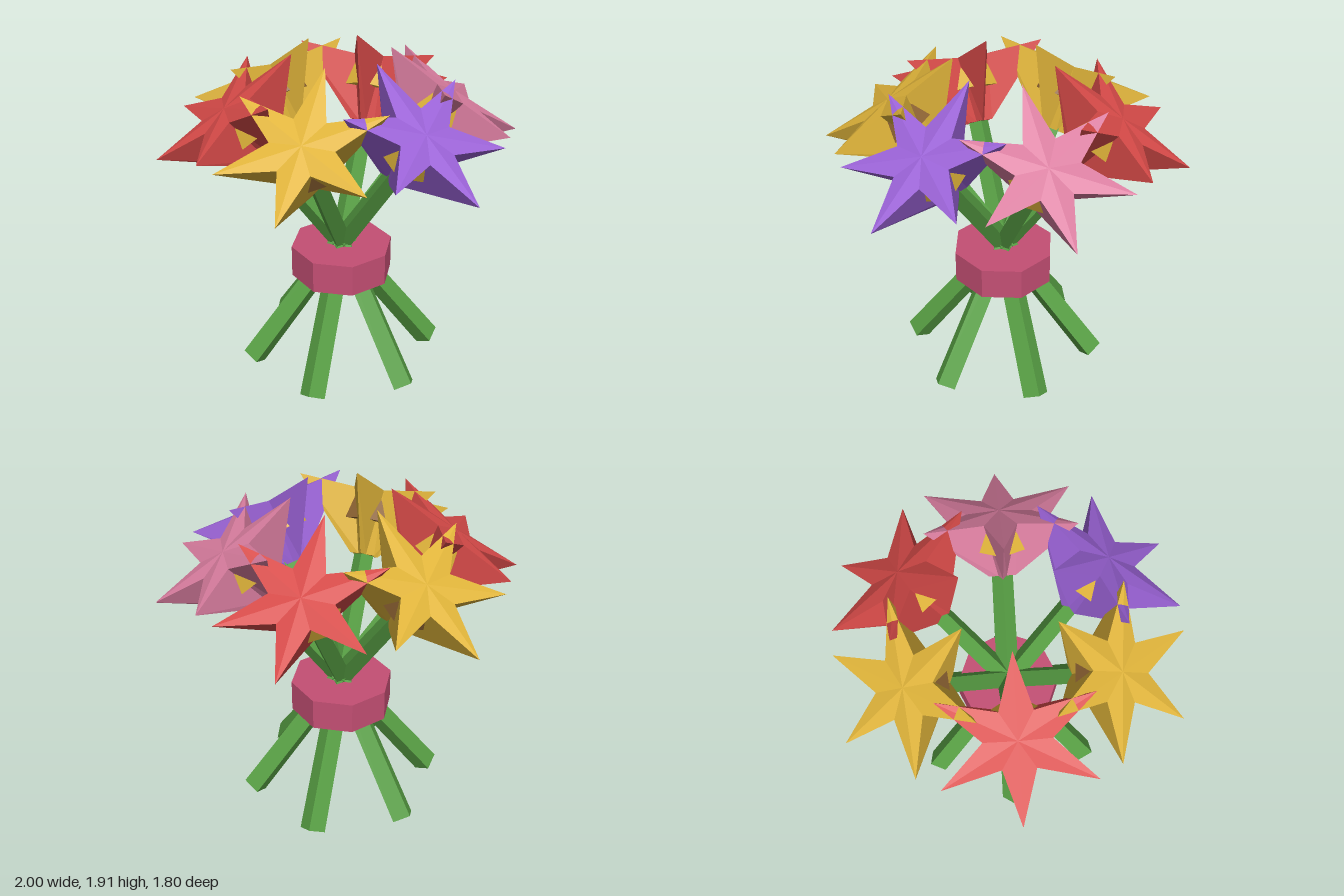
import * as THREE from 'three';

const mat = (name, color) => {
  const m = new THREE.MeshStandardMaterial({ color, flatShading: true });
  m.name = name;
  return m;
};

const TILT = Math.PI / 5;   // lean of every stem away from vertical
const CROSS_Y = 0.775;      // height where the stems cross
const HEAD = 1.075;         // crossing point to flower rim, along the stem
const FOOT = 0.9;           // crossing point to cut end, along the stem

// Six-pointed star funnel: rim at y = 0, narrow foot below
function starGeometry() {
  const depth = 0.375, n = 12, pos = [];
  const ring = (tip, valley, y, dip) => Array.from({ length: n }, (_, i) => {
    const a = i * Math.PI / 6, r = i % 2 ? valley : tip;
    return [r * Math.cos(a), i % 2 ? y - dip : y, r * Math.sin(a)];
  });
  const rim = ring(0.453, 0.172, 0, 0.018);
  const foot = ring(0.082, 0.045, -depth, 0);
  const tri = (...p) => p.forEach(v => pos.push(...v));
  for (let i = 0; i < n; i++) {
    const j = (i + 1) % n;
    tri([0, -0.006, 0], rim[j], rim[i]);
    tri(rim[i], rim[j], foot[i]);
    tri(rim[j], foot[j], foot[i]);
    tri([0, -depth, 0], foot[i], foot[j]);
  }
  const g = new THREE.BufferGeometry();
  g.setAttribute('position', new THREE.Float32BufferAttribute(pos, 3));
  g.computeVertexNormals();
  return g;
}

export function createModel() {
  const green = mat('stem green', 0x58a044);
  const wrap = mat('ribbon rose', 0xc44f74);
  const pink = mat('petal pink', 0xd97d9f);
  const purple = mat('petal purple', 0x9a62d6);
  const gold = mat('petal gold', 0xe0b43a);
  const red = mat('petal red', 0xd64a48);
  const brown = mat('centre brown', 0x8f6433);

  const model = new THREE.Group();
  model.name = 'bouquet';
  const add = (parent, name, geo, material, y = 0) => {
    const m = new THREE.Mesh(geo, material);
    m.name = name;
    m.position.y = y;
    parent.add(m);
    return m;
  };

  // Octagonal band around the stems
  add(model, 'ribbonBand', new THREE.CylinderGeometry(0.29, 0.29, 0.185, 8), wrap, 0.672);

  // Shared parts
  const stemTop = HEAD - 0.3;
  const stem = new THREE.CylinderGeometry(0.056, 0.073, stemTop + FOOT, 4);
  const star = starGeometry();
  const centre = new THREE.CylinderGeometry(0.178, 0.178, 0.145, 6).rotateY(Math.PI / 6);

  // Six flowers, leaning outward all round
  const petals = [pink, purple, gold, red, gold, red];
  petals.forEach((petal, i) => {
    const turn = new THREE.Group();
    turn.name = 'flower' + (i + 1);
    turn.position.y = CROSS_Y;
    turn.rotation.y = -i * Math.PI / 3;
    const lean = new THREE.Group();
    lean.name = 'leaningStem';
    lean.rotation.z = -TILT;
    turn.add(lean);
    add(lean, 'stem', stem, green, (stemTop - FOOT) / 2);
    add(lean, 'petals', star, petal, HEAD);
    // Hexagonal centre showing between the petals
    add(lean, 'flowerCentre', centre, petal === gold ? brown : gold, HEAD - 0.117);
    model.add(turn);
  });
  return model;
}
